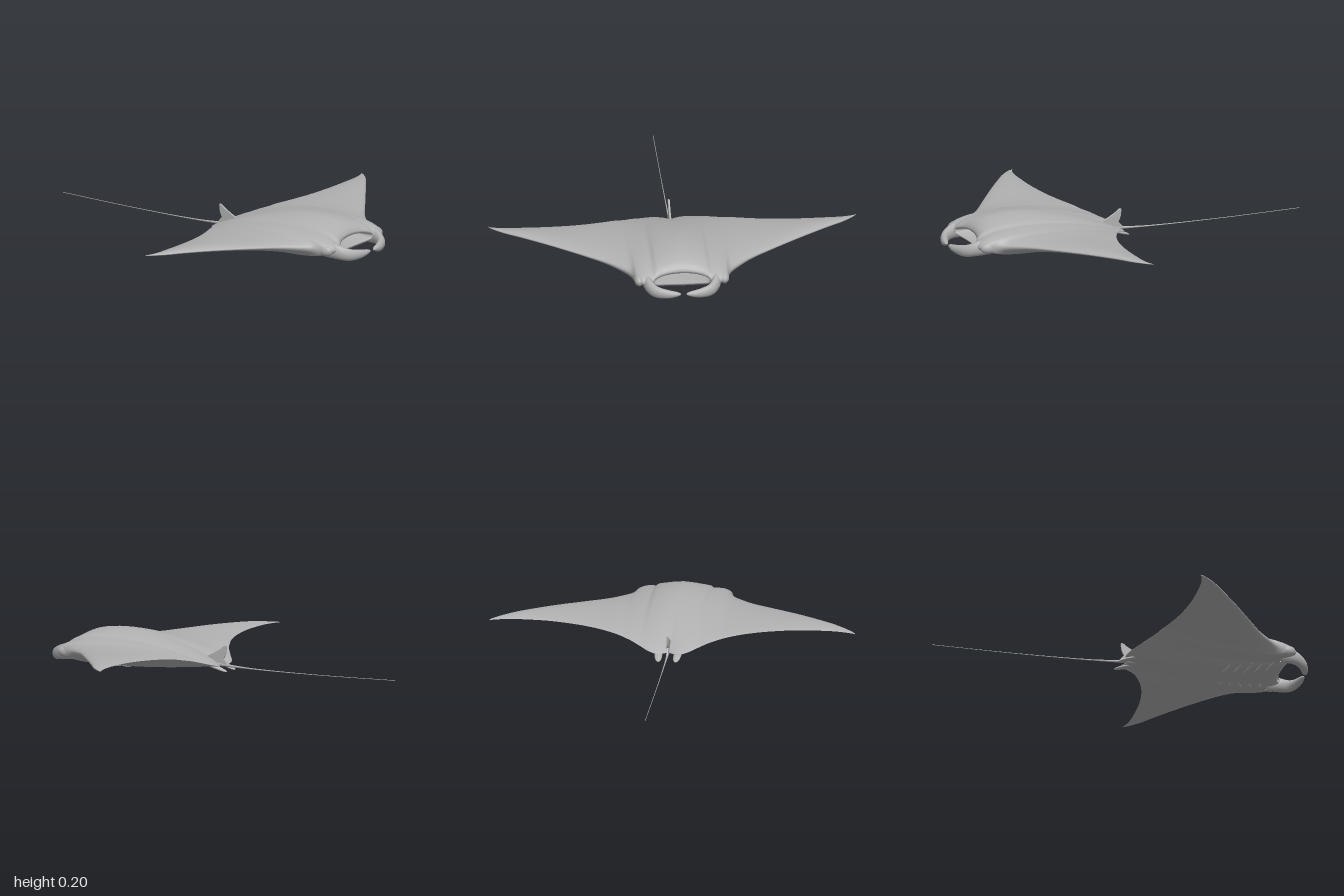
import * as THREE from 'three';
import { mergeVertices } from 'three/addons/utils/BufferGeometryUtils.js';

// Half-span stations: x, leading z, trailing z, leading y, trailing y, back height, belly depth
const STATIONS = [
  [0, .85, .05, .088, .045, .108, .048],
  [.05, .853, .02, .088, .045, .104, .047],
  [.1, .862, .03, .087, .055, .096, .047],
  [.15, .885, .065, .087, .07, .085, .047],
  [.2, .897, .1, .088, .085, .072, .048],
  [.235, .87, .123, .088, .092, .062, .05],
  [.25, .82, .132, .09, .095, .056, .049],
  [.265, .785, .14, .092, .098, .05, .047],
  [.3, .742, .155, .097, .104, .042, .042],
  [.38, .665, .19, .106, .112, .03, .033],
  [.5, .58, .225, .115, .119, .024, .02],
  [.65, .475, .247, .124, .125, .02, .013],
  [.8, .368, .25, .128, .127, .015, .009],
  [.88, .31, .245, .127, .126, .009, .006],
  [.94, .253, .231, .126, .125, .004, .003],
  [.96, .222, .22, .125, .125, .001, .001],
];
const LAST = STATIONS.length - 1;
const spline = new THREE.CubicInterpolant(STATIONS.map((_, i) => i), STATIONS.flat(), 7, new Array(7).fill(0));

// Station values at a signed position along the span, with the mouth's half opening
function station(s) {
  const [x, zL, zT, yL, yT, up, down] = spline.evaluate(Math.min(Math.abs(s), LAST));
  const open = Math.sqrt(Math.max(0, 1 - (x / 0.15) ** 2));
  return { x: x * Math.sign(s), zL, zT, yL, yT, up, down, open };
}

// Point on the back (side = 1) or belly (side = -1); t runs from leading to trailing edge
function skin(k, t, side) {
  const base = THREE.MathUtils.lerp(k.yL + side * 0.03 * k.open, k.yT, t);
  const bulge = side > 0
    ? k.up * Math.sqrt(t) * (1 - t) ** 0.8 / 0.42
    : -k.down * Math.sqrt(t) * (1 - t) ** 1.1 / 0.371;
  return new THREE.Vector3(k.x, base + bulge, THREE.MathUtils.lerp(k.zL, k.zT, t));
}

// Smooth surface through equal-length rows of points
function loft(rows) {
  const n = rows[0].length;
  const index = [];
  for (let i = 0; i < rows.length - 1; i++) {
    for (let j = 0; j < n - 1; j++) {
      const a = i * n + j, c = a + n;
      index.push(a, a + 1, c, a + 1, c + 1, c);
    }
  }
  let geo = new THREE.BufferGeometry().setFromPoints(rows.flat());
  geo.setIndex(index);
  geo = mergeVertices(geo, 1e-5);
  geo.computeVertexNormals();
  return geo;
}

// Elliptical tube along a path, with width and height given by functions of t
function sweep(points, width, height, steps = 28, sides = 14) {
  const curve = new THREE.CatmullRomCurve3(points);
  const up = new THREE.Vector3(0, 1, 0);
  const rows = [];
  for (let i = 0; i <= steps; i++) {
    const t = (1 - Math.cos(Math.PI * i / steps)) / 2;
    const p = curve.getPoint(t);
    const side = up.clone().cross(curve.getTangent(t)).normalize();
    const row = [];
    for (let j = 0; j <= sides; j++) {
      const a = 2 * Math.PI * (j % sides) / sides;
      row.push(p.clone().addScaledVector(side, width(t) * Math.cos(a)).addScaledVector(up, height(t) * Math.sin(a)));
    }
    rows.push(row);
  }
  return loft(rows);
}

// Body and wings in one skin, with the mouth folded inwards at the front
function bodyGeometry() {
  const rows = [], half = 75, n = 32, m = 12;
  for (let i = -half; i <= half; i++) {
    const k = station(i / half * LAST);
    const row = [];
    for (let j = 0; j <= n; j++) row.push(skin(k, (1 + Math.cos(Math.PI * j / n)) / 2, 1));
    for (let j = 1; j < m; j++) {
      const a = Math.PI * j / m;
      row.push(new THREE.Vector3(k.x, k.yL + 0.03 * k.open * Math.cos(a), k.zL - 0.25 * k.open * Math.sin(a)));
    }
    for (let j = 0; j <= n; j++) row.push(skin(k, (1 - Math.cos(Math.PI * j / n)) / 2, -1));
    rows.push(row);
  }
  return loft(rows);
}

export function createModel() {
  const model = new THREE.Group();
  model.name = 'mantaRay';
  const skinGrey = new THREE.MeshStandardMaterial({ color: 0xb0b0b0, side: THREE.DoubleSide });
  skinGrey.name = 'skinGrey';
  const add = (name, geo) => {
    const mesh = new THREE.Mesh(geo, skinGrey);
    mesh.name = name;
    model.add(mesh);
    return mesh;
  };
  const V = (x, y, z) => new THREE.Vector3(x, y, z);
  const round = (t, p) => Math.max(0, 1 - t ** p) ** 0.5;

  add('bodyAndWings', bodyGeometry());

  for (const [s, label] of [[1, 'left'], [-1, 'right']]) {
    // Curled head fin beside the mouth
    add(label + 'HeadFin', sweep(
      [V(s * .18, .085, .82), V(s * .176, .075, .89), V(s * .145, .06, .938), V(s * .085, .055, .967), V(s * .014, .06, .985)],
      t => (0.026 - 0.008 * t) * round(t, 8), t => (0.046 - 0.026 * t) * round(t, 6)));

    // Eye bulge
    const eye = add(label + 'Eye', new THREE.SphereGeometry(1, 20, 14));
    eye.scale.set(0.026, 0.03, 0.045);
    eye.position.set(s * 0.222, 0.085, 0.845);

    // Small fin beside the tail root
    add(label + 'PelvicFin', sweep(
      [V(s * .05, .052, .1), V(s * .05, .038, .04), V(s * .045, .018, -.02)],
      t => 0.021 * round(t, 5) * Math.min(1, 0.3 + 2 * t), t => 0.009 * round(t, 5)));

    // Five gill folds on the belly
    for (let g = 0; g < 5; g++) {
      const path = [0, 0.33, 0.67, 1].map(u => {
        const k = station(s * (1.35 + 2 * u - 0.12 * g));
        const z = 0.755 - 0.055 * g + 0.035 * u;
        return skin(k, (k.zL - z) / (k.zL - k.zT), -1);
      });
      add(label + 'Gill' + (g + 1), sweep(path,
        t => 0.008 * Math.sin(Math.PI * t), t => 0.006 * Math.sin(Math.PI * t), 12, 8));
    }
  }

  // Whip tail
  add('tail', sweep([V(0, .055, .14), V(0, .045, .02), V(0, .037, -.15), V(0, .034, -.55), V(0, .04, -1)],
    t => 0.0015 + 0.0125 * (1 - t) ** 3, t => 0.0015 + 0.016 * (1 - t) ** 3, 48, 10));

  // Swept-back dorsal fin
  const fin = new THREE.Shape();
  fin.moveTo(0.16, 0.07);
  fin.quadraticCurveTo(0.08, 0.1, 0.035, 0.132);
  fin.quadraticCurveTo(0.012, 0.152, 0.008, 0.145);
  fin.quadraticCurveTo(0.008, 0.1, 0.025, 0.08);
  fin.lineTo(-0.005, 0.045);
  fin.lineTo(0.14, 0.05);
  const finGeo = new THREE.ExtrudeGeometry(fin, {
    depth: 0.004, bevelEnabled: true, bevelThickness: 0.003, bevelSize: 0.002, bevelSegments: 2, curveSegments: 10,
  });
  finGeo.translate(0, 0, -0.002).rotateY(-Math.PI / 2);
  add('dorsalFin', finGeo);

  return model;
}
